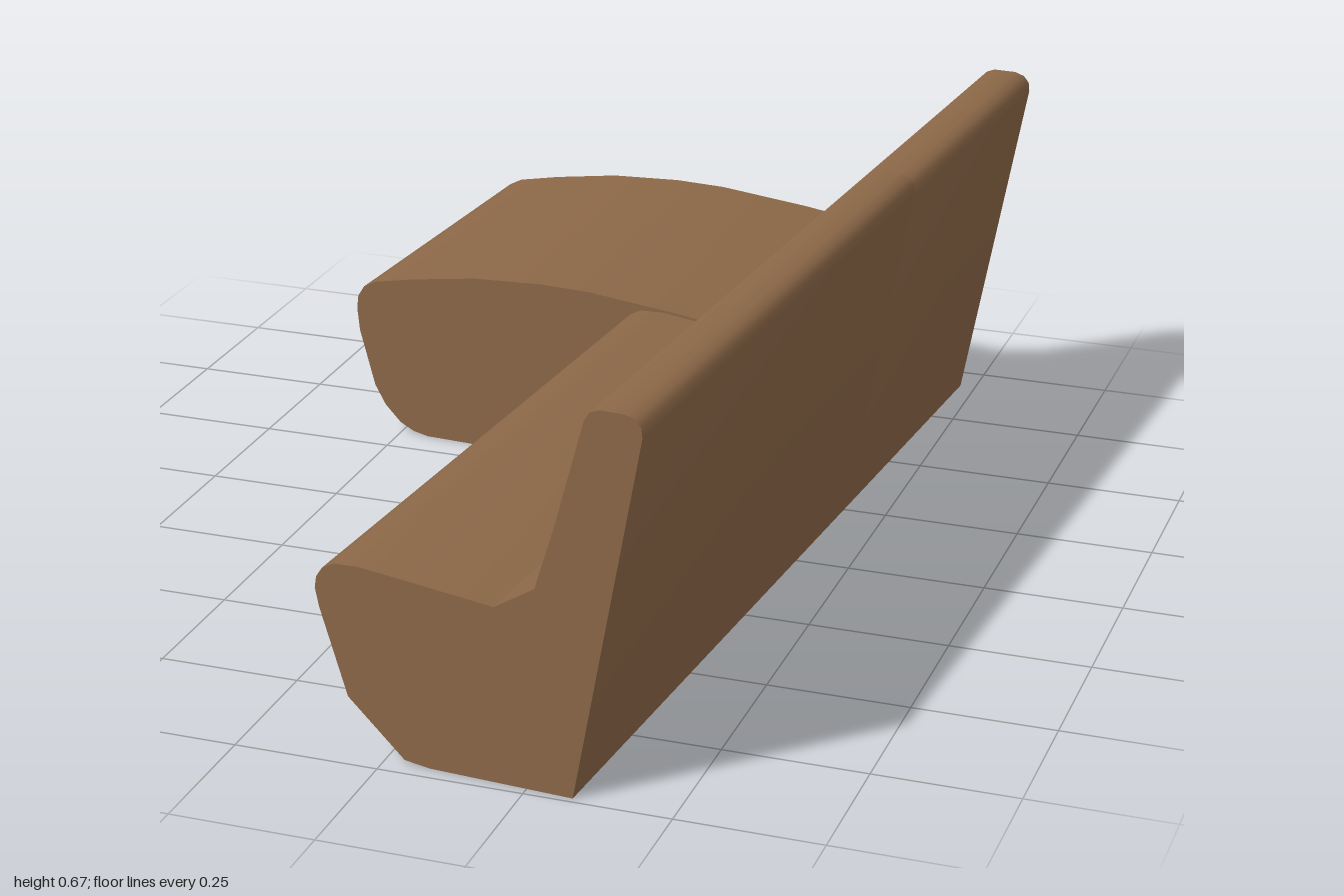
import * as THREE from 'three';
import { toCreasedNormals } from 'three/addons/utils/BufferGeometryUtils.js';

// Backrest outline shared by both sections, from the rear foot up and over to the seat crease
const back = [
  [0.401, 0], [0.517, 0.635], [0.515, 0.652], [0.505, 0.664], [0.487, 0.67],
  [0.445, 0.67], [0.43, 0.664], [0.42, 0.648], [0.372, 0.47], [0.336, 0.352], [0.266, 0.308],
];

// Short seat: gently sloped top, rounded nose, angled underside
const seatFront = [
  [0.03, 0.333], [-0.015, 0.331], [-0.036, 0.32], [-0.047, 0.303], [-0.05, 0.283],
  [-0.043, 0.25], [0.005, 0.1], [0.105, 0.006], [0.15, 0],
];

// Long chaise: domed top, rounded nose, curved toe
const chaiseFront = [
  [0.195, 0.318], [0.06, 0.335], [-0.12, 0.351], [-0.22, 0.352], [-0.36, 0.343],
  [-0.49, 0.322], [-0.572, 0.305], [-0.597, 0.292], [-0.61, 0.271], [-0.613, 0.245],
  [-0.608, 0.2], [-0.577, 0.09], [-0.555, 0.052], [-0.523, 0.02], [-0.495, 0.006], [-0.465, 0],
];

// Extrude a side outline along z between two ends
function section(name, front, z0, z1, material) {
  const shape = new THREE.Shape([...back, ...front].map(([x, y]) => new THREE.Vector2(x, y)));
  const solid = new THREE.ExtrudeGeometry(shape, { depth: z1 - z0, bevelEnabled: false });
  const mesh = new THREE.Mesh(toCreasedNormals(solid, 0.6), material);
  mesh.position.z = z0;
  mesh.name = name;
  return mesh;
}

export function createModel() {
  const upholstery = new THREE.MeshStandardMaterial({ color: 0x8b6747 });
  upholstery.name = 'brown upholstery';

  const sofa = new THREE.Group();
  sofa.name = 'cornerSofa';
  sofa.add(
    section('chaiseSection', chaiseFront, -0.96, -0.286, upholstery),
    section('seatSection', seatFront, -0.286, 0.962, upholstery),
  );
  // The sofa stands slightly turned
  sofa.rotation.y = -0.0728;

  const model = new THREE.Group();
  model.name = 'sofaModel';
  model.add(sofa);
  return model;
}
